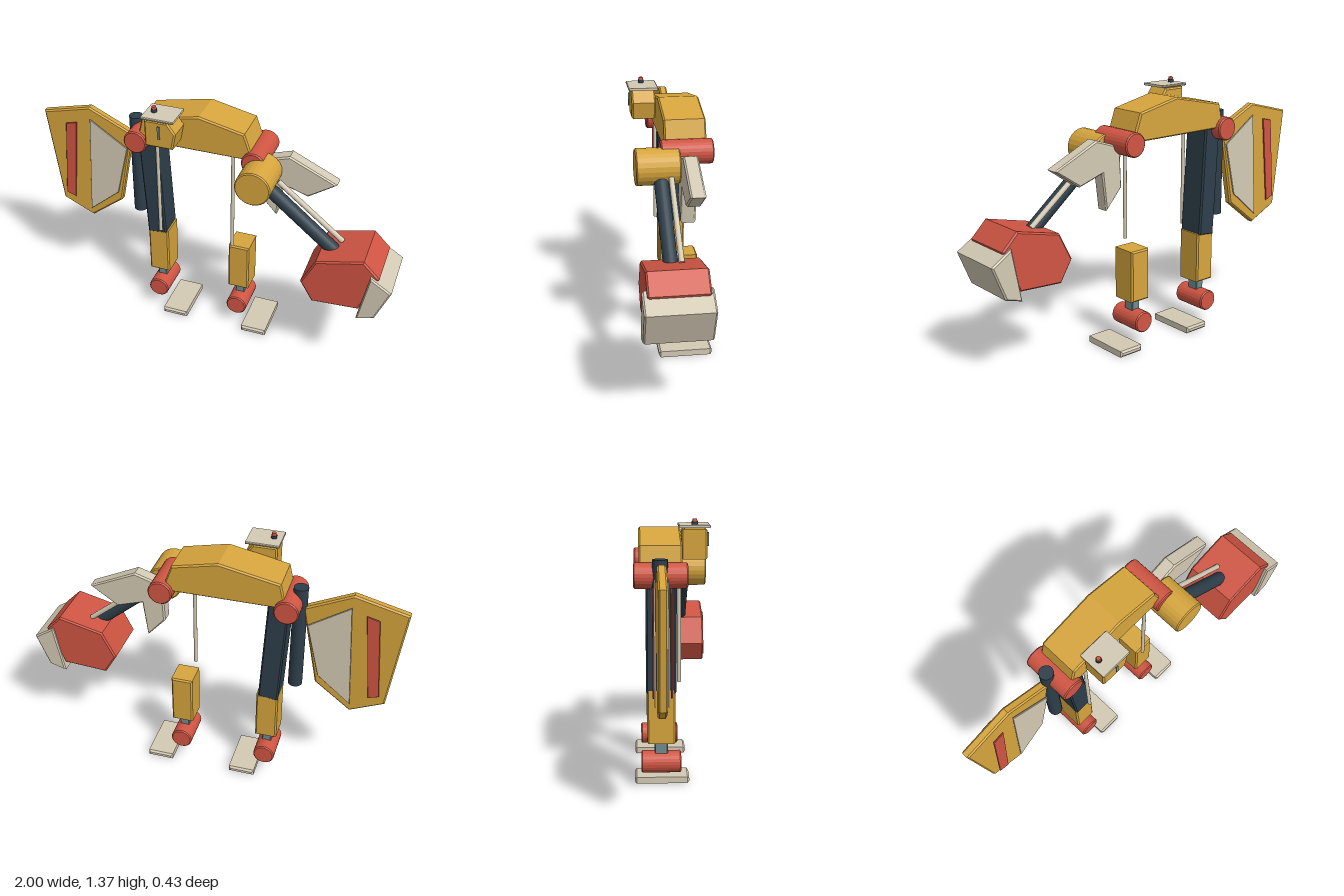
import * as THREE from 'three';

const paint = (name, color) => {
  const m = new THREE.MeshStandardMaterial({ color });
  m.name = name;
  return m;
};

export function createModel() {
  const model = new THREE.Group();
  const gold = paint('gold', 0xd6a53d);
  const red = paint('red', 0xd05543);
  const bone = paint('bone', 0xd3cab4);
  const navy = paint('navy', 0x2d3e4a);
  const steel = paint('steel', 0x718b90);

  const add = (name, geometry, material, x = 0, y = 0, z = 0) => {
    const mesh = new THREE.Mesh(geometry, material);
    mesh.name = name;
    mesh.position.set(x, y, z);
    model.add(mesh);
    return mesh;
  };

  // Outline in x/y, chamfered and extruded from z0 to z1
  const plate = (name, material, points, z0, z1, bevel = 0.008) => {
    const shape = new THREE.Shape(points.map(([x, y]) => new THREE.Vector2(x, y)));
    const geometry = new THREE.ExtrudeGeometry(shape, {
      depth: z1 - z0 - 2 * bevel, bevelEnabled: bevel > 0, bevelSegments: 1,
      bevelThickness: bevel, bevelSize: bevel, bevelOffset: -bevel,
    });
    return add(name, geometry, material, 0, 0, z0 + bevel);
  };

  const block = (name, material, x0, x1, y0, y1, z0, z1, bevel) =>
    plate(name, material, [[x0, y0], [x1, y0], [x1, y1], [x0, y1]], z0, z1, bevel);

  // Chamfered cylinder lying along z
  const drum = (name, material, x, y, r, z0, z1) => {
    const points = Array.from({ length: 24 }, (_, i) => {
      const a = (i / 24) * Math.PI * 2;
      return [x + r * Math.cos(a), y + r * Math.sin(a)];
    });
    return plate(name, material, points, z0, z1, 0.006);
  };

  // Round bar between two points
  const rod = (name, material, from, to, r, sides = 16) => {
    const a = new THREE.Vector3(...from), b = new THREE.Vector3(...to);
    const dir = b.clone().sub(a);
    const mesh = add(name, new THREE.CylinderGeometry(r, r, dir.length(), sides), material);
    mesh.position.copy(a).add(b).multiplyScalar(0.5);
    mesh.quaternion.setFromUnitVectors(new THREE.Vector3(0, 1, 0), dir.normalize());
    return mesh;
  };

  // Arched body and its two end joints
  plate('body', gold, [[-0.415, 1.112], [0.215, 1.112], [0.2, 1.16], [0.165, 1.257],
    [-0.075, 1.31], [-0.385, 1.247]], -0.187, 0.026);
  drum('rearJoint', red, -0.42, 1.107, 0.063, -0.213, 0.05);
  drum('frontJoint', red, 0.22, 1.107, 0.063, -0.213, 0.05);

  // Cabin with roof, window strip and beacon
  plate('cabin', gold, [[-0.315, 1.17], [-0.168, 1.17], [-0.15, 1.26], [-0.192, 1.318],
    [-0.315, 1.318]], 0.024, 0.151);
  block('cabinRoof', bone, -0.326, -0.155, 1.325, 1.338, 0.01, 0.167, 0.004);
  add('roofPost', new THREE.BoxGeometry(0.1, 0.02, 0.1), gold, -0.25, 1.317, 0.088);
  add('cabinWindow', new THREE.BoxGeometry(0.012, 0.07, 0.006), steel, -0.235, 1.262, 0.16);
  add('beaconBase', new THREE.CylinderGeometry(0.015, 0.015, 0.016, 12), navy, -0.283, 1.346, 0.09);
  add('beacon', new THREE.CylinderGeometry(0.011, 0.013, 0.014, 12), red, -0.283, 1.36, 0.09);

  // Legs: shin, ankle, foot and piston; the rear one also has a thigh
  for (const [side, x, rodX] of [['rear', -0.333, -0.308], ['front', 0.137, 0.106]]) {
    block(side + 'Shin', gold, x - 0.058, x + 0.058, 0.25, 0.53, -0.15, -0.007);
    block(side + 'AnklePost', steel, x - 0.025, x + 0.025, 0.15, 0.27, -0.112, -0.045, 0.004);
    drum(side + 'Ankle', red, x, 0.138, 0.057, -0.18, 0.022);
    block(side + 'Foot', bone, x + 0.045, x + 0.185, 0, 0.034, -0.215, 0.068, 0.01);
    rod(side + 'LegPiston', bone, [rodX, 0.552, 0.012], [rodX, 1.13, 0.012], 0.01, 12);
  }
  plate('rearThigh', navy, [[-0.425, 1.13], [-0.319, 1.13], [-0.284, 0.522], [-0.39, 0.51]],
    -0.154, -0.003);

  // Upright cylinder and shield at the tail end
  rod('tailCylinder', navy, [-0.465, 0.605, -0.085], [-0.465, 1.19, -0.085], 0.037, 20);
  plate('shield', gold, [[-1, 1.13], [-0.727, 1.198], [-0.485, 1.085], [-0.57, 0.645],
    [-0.76, 0.497], [-0.935, 0.578]], -0.106, -0.062);
  for (const [side, zPanel, zStripe] of [['Back', -0.119, -0.128], ['Front', -0.056, -0.047]]) {
    plate('shieldPanel' + side, bone, [[-0.722, 1.134], [-0.513, 0.995], [-0.583, 0.7],
      [-0.76, 0.55]], zPanel, zPanel + 0.008, 0.002);
    plate('shieldStripe' + side, red, [[-0.862, 1.09], [-0.797, 1.107], [-0.848, 0.618],
      [-0.903, 0.637]], zStripe, zStripe + 0.008, 0.002);
  }

  // Shoulder, arm and arm piston
  drum('shoulder', gold, 0.258, 1.05, 0.093, -0.04, 0.18);
  rod('arm', navy, [0.262, 1.035, 0.056], [0.68, 0.69, 0.056], 0.036, 20);
  rod('armPiston', bone, [0.345, 1.015, 0.009], [0.7, 0.73, 0.009], 0.014, 12);

  // Two-pronged fin behind the shoulder
  plate('fin', bone, [[0.24, 1.09], [0.385, 1.137], [0.635, 1.02], [0.49, 0.92],
    [0.352, 0.965], [0.328, 0.77], [0.23, 0.878], [0.235, 1.0]], -0.115, -0.04);

  // Head block and its front cap
  plate('head', red, [[0.533, 0.56], [0.605, 0.706], [0.845, 0.765], [0.93, 0.68],
    [0.842, 0.463], [0.6, 0.448]], -0.095, 0.195);
  plate('headCap', bone, [[0.888, 0.692], [1, 0.622], [0.93, 0.445], [0.838, 0.418]],
    -0.11, 0.217);

  return model;
}
